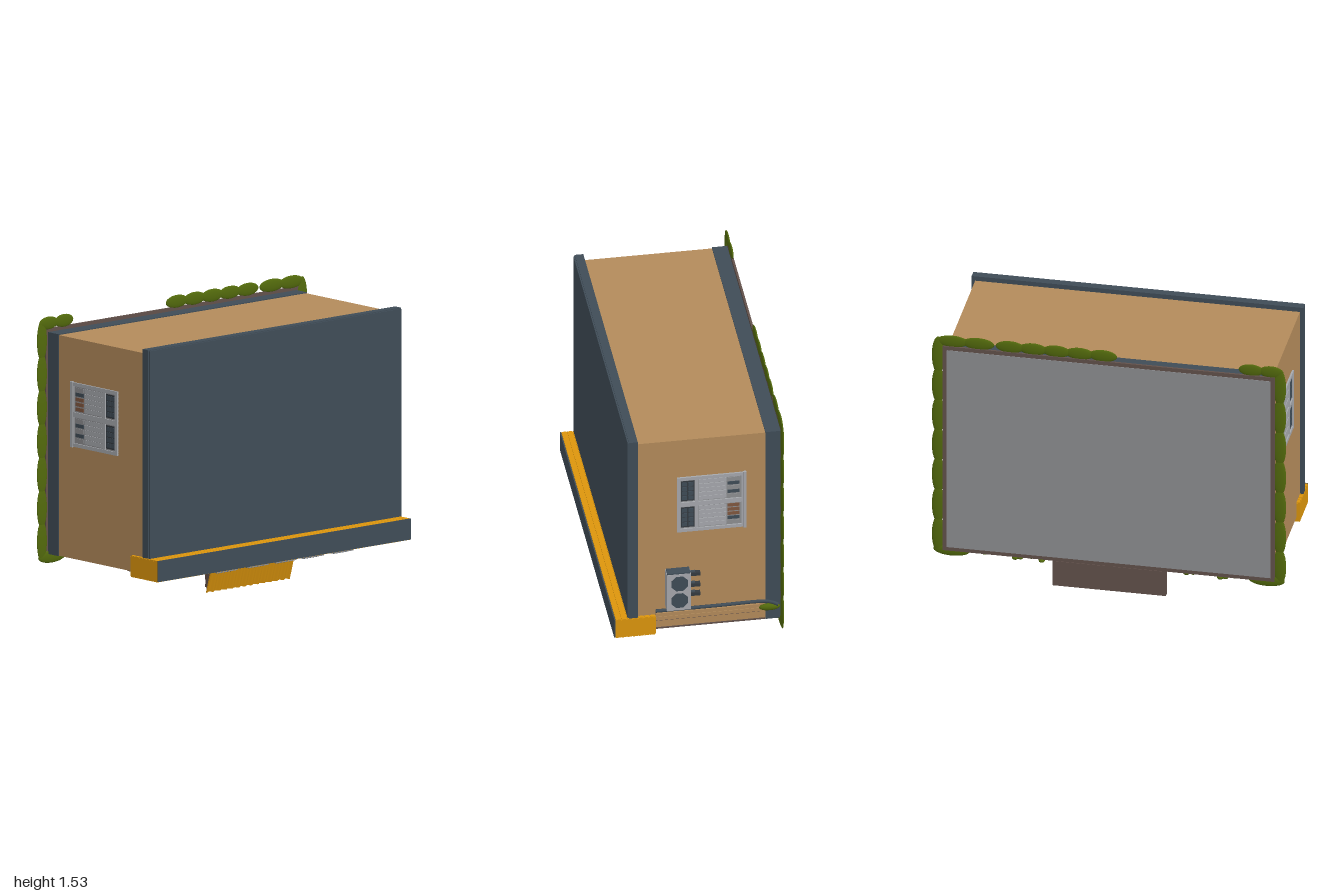
import * as THREE from 'three';

const mat = (name, color) => Object.assign(new THREE.MeshStandardMaterial({ color }), { name });
const M = {
  tan: mat('tan wall', 0xb38b5b),
  slate: mat('slate', 0x3f4c57),
  orange: mat('orange boards', 0xdc950c),
  green: mat('leaf green', 0x52690c),
  grey: mat('ground grey', 0x8d8e91),
  brown: mat('dark brown', 0x62514b),
  light: mat('light grey', 0xa6a8ad),
  dark: mat('dark grey', 0x343a40),
  rust: mat('rust', 0x80573f),
};

function add(parent, name, geo, material, x = 0, y = 0, z = 0) {
  const m = new THREE.Mesh(geo, material);
  m.name = name;
  m.position.set(x, y, z);
  parent.add(m);
  return m;
}

// Box given by its min and max corners
function box(parent, name, material, [x0, y0, z0], [x1, y1, z1]) {
  return add(parent, name, new THREE.BoxGeometry(x1 - x0, y1 - y0, z1 - z0), material,
    (x0 + x1) / 2, (y0 + y1) / 2, (z0 + z1) / 2);
}

// Square bar between two points
function bar(parent, name, material, a, b, t) {
  const A = new THREE.Vector3(...a), B = new THREE.Vector3(...b);
  const m = add(parent, name, new THREE.BoxGeometry(t, t, A.distanceTo(B)), material);
  m.position.copy(A).lerp(B, 0.5);
  m.lookAt(B);
}

// Group whose local z points along "out" and whose local y points along +z
function facing(name, out, pos) {
  const g = new THREE.Group(), Z = new THREE.Vector3(...out), Y = new THREE.Vector3(0, 0, 1);
  g.name = name;
  g.quaternion.setFromRotationMatrix(new THREE.Matrix4().makeBasis(Y.clone().cross(Z), Y, Z));
  g.position.set(...pos);
  return g;
}

function makeWindow(name, out, pos, frame, curtain, back) {
  const g = facing(name, out, pos);
  const w = 0.18, h = 0.19;
  box(g, 'windowBack', back, [-w, -h, -0.01], [w, h, 0.002]);
  // frame, mullion, transom and sill
  for (const s of [-1, 1]) {
    box(g, 'frameSide', frame, [s * 0.17 - 0.01, -h, 0], [s * 0.17 + 0.01, h, 0.01]);
    box(g, 'frameRail', frame, [-w, s * 0.18 - 0.01, 0], [w, s * 0.18 + 0.01, 0.01]);
  }
  box(g, 'mullion', frame, [-0.014, -h, 0], [0.014, h, 0.009]);
  box(g, 'transom', frame, [-w, 0.07, 0], [w, 0.09, 0.009]);
  box(g, 'sill', frame, [-w - 0.004, -h - 0.006, 0], [w + 0.004, -h + 0.012, 0.014]);
  for (const s of [-1, 1]) {
    const c = s * 0.087;
    // upper pane grid
    box(g, 'upperGlass', M.dark, [c - 0.066, 0.092, 0], [c + 0.066, 0.168, 0.003]);
    for (let i = 0; i < 8; i++) {
      const x = c - 0.045 + (i % 4) * 0.03, y = i < 4 ? 0.112 : 0.148;
      box(g, 'upperPane', M.slate, [x - 0.012, y - 0.015, 0], [x + 0.012, y + 0.015, 0.006]);
    }
    // curtain folds and the shelf items below them
    for (let i = 0; i < 5; i++) {
      const x = c - 0.055 + i * 0.0275;
      box(g, 'curtainFold', curtain, [x - 0.0122, -0.085, 0], [x + 0.0122, 0.066, i % 2 ? 0.007 : 0.005]);
      box(g, 'shelfItem', s < 0 && i > 1 ? M.rust : i % 2 ? M.slate : M.grey, [x - 0.01, -0.158, 0], [x + 0.01, -0.092, 0.005]);
    }
  }
  return g;
}

// Row of flattened leafy clumps between two points
function hedge(parent, a, b, n) {
  const dx = (b[0] - a[0]) / n, dy = (b[1] - a[1]) / n, len = Math.hypot(dx, dy);
  for (let i = 0; i < n; i++) {
    const m = add(parent, 'hedgeClump', new THREE.SphereGeometry(1, 18, 12), M.green,
      a[0] + dx * (i + 0.5), a[1] + dy * (i + 0.5), -0.46);
    m.scale.set(len * 0.62, 0.036, 0.009);
    m.rotation.z = Math.atan2(dy, dx);
  }
}

export function createModel() {
  const house = new THREE.Group();
  house.name = 'house';

  // Body, plinth, roof and ground slab
  box(house, 'walls', M.tan, [-0.91, 0.21, -0.45], [0.91, 1.445, 0.345]);
  box(house, 'plinth', M.slate, [-0.914, 0.208, -0.46], [0.914, 1.45, -0.373]);
  box(house, 'roof', M.slate, [-0.93, 0.305, 0.34], [0.93, 1.472, 0.388]);
  box(house, 'roofCap', M.slate, [-0.925, 0.305, 0.38], [0.925, 1.467, 0.396]);
  box(house, 'slabRim', M.brown, [-0.93, 0.19, -0.47], [0.93, 1.47, -0.458]);
  box(house, 'groundSlab', M.grey, [-0.907, 0.213, -0.473], [0.907, 1.447, -0.465]);

  // Board-clad fascia with a slate cap
  box(house, 'fasciaCore', M.orange, [-0.93, 0.188, 0.24], [0.93, 0.298, 0.465]);
  for (let i = 0; i < 7; i++) {
    const z = 0.24 + i * 0.032;
    box(house, 'fasciaBoard', M.orange, [-0.929, 0.183, z + 0.003], [0.929, 0.303, z + 0.03]);
  }
  box(house, 'fasciaCap', M.slate, [-0.93, 0.186, 0.464], [0.93, 0.303, 0.471]);
  for (const x of [-0.39, -0.16, 0.045, 0.245, 0.465]) {
    box(house, 'signPanel', M.grey, [x - 0.075, 0.17, 0.275], [x + 0.075, 0.184, 0.435]);
    box(house, 'signPlate', M.slate, [x - 0.055, 0.164, 0.295], [x + 0.055, 0.171, 0.415]);
  }

  // Corrugated door awning
  const awning = new THREE.Shape(), n = 104, wave = i => 0.005 * Math.cos(i / n * Math.PI * 26);
  awning.moveTo(-0.305, wave(0));
  for (let i = 1; i <= n; i++) awning.lineTo(-0.305 + 0.61 * i / n, wave(i));
  for (let i = n; i >= 0; i--) awning.lineTo(-0.305 + 0.61 * i / n, wave(i) - 0.008);
  const sheet = add(house, 'awningSheet',
    new THREE.ExtrudeGeometry(awning, { depth: 0.25, bevelEnabled: false }), M.orange, 0, 0.244, 0.236);
  const Z = new THREE.Vector3(0, -0.96, -0.28).normalize(), X = new THREE.Vector3(1, 0, 0);
  sheet.quaternion.setFromRotationMatrix(new THREE.Matrix4().makeBasis(X, Z.clone().cross(X), Z));
  for (const [y, z] of [[0.03, 0.158], [0.19, 0.206]])
    bar(house, 'awningRail', M.brown, [-0.29, y, z], [0.29, y, z], 0.014);
  for (const x of [-0.285, 0.285]) {
    bar(house, 'awningRafter', M.brown, [x, 0.03, 0.15], [x, 0.21, 0.2], 0.018);
    bar(house, 'awningStrut', M.brown, [x, 0.04, 0.155], [x, 0.21, 0.15], 0.018);
    bar(house, 'awningBrace', M.brown, [x, 0.13, 0.145], [x, 0.21, 0.045], 0.016);
  }

  // Porch step with two panels underneath
  box(house, 'porch', M.brown, [-0.32, 0.035, -0.468], [0.315, 0.21, -0.44]);
  for (const x of [-0.16, 0.155])
    box(house, 'porchPanel', M.brown, [x - 0.145, 0.047, -0.473], [x + 0.145, 0.19, -0.466]);

  // Door with nested frame
  const door = facing('door', [0, -1, 0], [0.02, 0.212, -0.17]);
  house.add(door);
  box(door, 'doorFrame', M.brown, [-0.16, -0.27, 0], [0.16, 0.26, 0.008]);
  box(door, 'doorLeaf', M.rust, [-0.135, -0.27, 0], [0.135, 0.235, 0.011]);
  box(door, 'doorPanel', M.brown, [-0.11, -0.25, 0], [0.11, 0.21, 0.015]);
  box(door, 'doorInset', M.grey, [-0.06, 0, 0], [0.06, 0.16, 0.018]);
  add(door, 'doorKnob', new THREE.SphereGeometry(0.01, 12, 8), M.light, 0.09, -0.08, 0.02);

  // Porch chair
  box(house, 'chairBack', M.slate, [-0.27, 0.18, -0.37], [-0.14, 0.197, -0.22]);
  box(house, 'chairSeat', M.slate, [-0.27, 0.11, -0.37], [-0.14, 0.197, -0.35]);
  for (const x of [-0.26, -0.15]) {
    box(house, 'chairArm', M.slate, [x - 0.01, 0.112, -0.24], [x + 0.01, 0.19, -0.22]);
    box(house, 'chairSide', M.slate, [x - 0.006, 0.12, -0.36], [x + 0.006, 0.185, -0.23]);
    for (const y of [0.125, 0.185])
      box(house, 'chairLeg', M.slate, [x - 0.007, y - 0.007, -0.44], [x + 0.007, y + 0.007, -0.36]);
  }

  // Windows on both ends and either side of the door
  house.add(
    makeWindow('rightEndWindow', [1, 0, 0], [0.91, 1.02, -0.07], M.light, M.light, M.grey),
    makeWindow('leftEndWindow', [-1, 0, 0], [-0.91, 1.02, -0.07], M.light, M.light, M.grey),
    makeWindow('frontWindow', [0, -1, 0], [0.56, 0.21, -0.07], M.brown, M.grey, M.dark),
    makeWindow('frontWindow', [0, -1, 0], [-0.52, 0.21, -0.07], M.brown, M.grey, M.dark));

  // Air conditioner with slate top, fans and brackets
  box(house, 'coolerCase', M.light, [0.925, 0.367, 0.052], [0.984, 0.605, 0.187]);
  box(house, 'coolerTop', M.slate, [0.927, 0.604, 0.055], [0.982, 0.612, 0.184]);
  for (const y of [0.543, 0.432]) {
    const fan = add(house, 'coolerFan', new THREE.CylinderGeometry(0.05, 0.05, 0.008, 8), M.slate, 0.984, y, 0.116);
    fan.rotation.set(Math.PI / 8, 0, Math.PI / 2);
  }
  for (const y of [0.562, 0.49, 0.43]) {
    box(house, 'coolerBracket', M.dark, [0.905, y - 0.01, -0.008], [0.935, y + 0.01, 0.055]);
    box(house, 'bracketFoot', M.slate, [0.905, y - 0.014, 0.02], [0.927, y + 0.014, 0.15]);
  }

  // Drainpipe and trim on the right end
  const pipe = new THREE.CatmullRomCurve3([[0.918, 0.33, 0.24], [0.918, 0.33, -0.1], [0.918, 0.33, -0.37], [0.935, 0.33, -0.41], [0.955, 0.325, -0.44]]
    .map(p => new THREE.Vector3(...p)));
  add(house, 'drainpipe', new THREE.TubeGeometry(pipe, 24, 0.01, 8), M.slate);
  for (const y of [0.279, 0.303])
    box(house, 'cornerTrim', M.tan, [0.905, y - 0.011, -0.34], [0.92, y + 0.011, 0.24]);
  box(house, 'lowerStrip', M.brown, [0.905, 0.207, -0.37], [0.912, 0.217, 0.24]);
  box(house, 'trimStrip', M.brown, [0.905, 0.262, -0.34], [0.914, 0.268, 0.24]);
  const shrub = add(house, 'cornerShrub', new THREE.SphereGeometry(1, 14, 10), M.green, 0.92, 0.292, -0.395);
  shrub.scale.set(0.016, 0.022, 0.06);

  // Hedge clumps around the slab
  for (const s of [-1, 1]) {
    hedge(house, [s * 0.957, 0.19], [s * 0.957, 1.5], 7);
    hedge(house, [s * 0.8, 0.192], [s * 0.965, 0.192], 1);
  }
  hedge(house, [-0.965, 1.5], [-0.74, 1.5], 2);
  hedge(house, [-0.03, 1.5], [0.62, 1.5], 5);
  hedge(house, [0.66, 1.5], [0.95, 1.5], 2);

  // Small weeds along the front edge
  [-0.7, -0.65, -0.62, -0.47, -0.43, 0.38, 0.44, 0.5, 0.53, 0.7].forEach((x, i) => {
    const weed = add(house, 'weed', new THREE.SphereGeometry(1, 8, 6), M.green, x, 0.188 - (i % 3) * 0.008, -0.445);
    weed.scale.set(0.018, 0.012, 0.012 + (i % 2) * 0.008);
  });

  return house;
}
